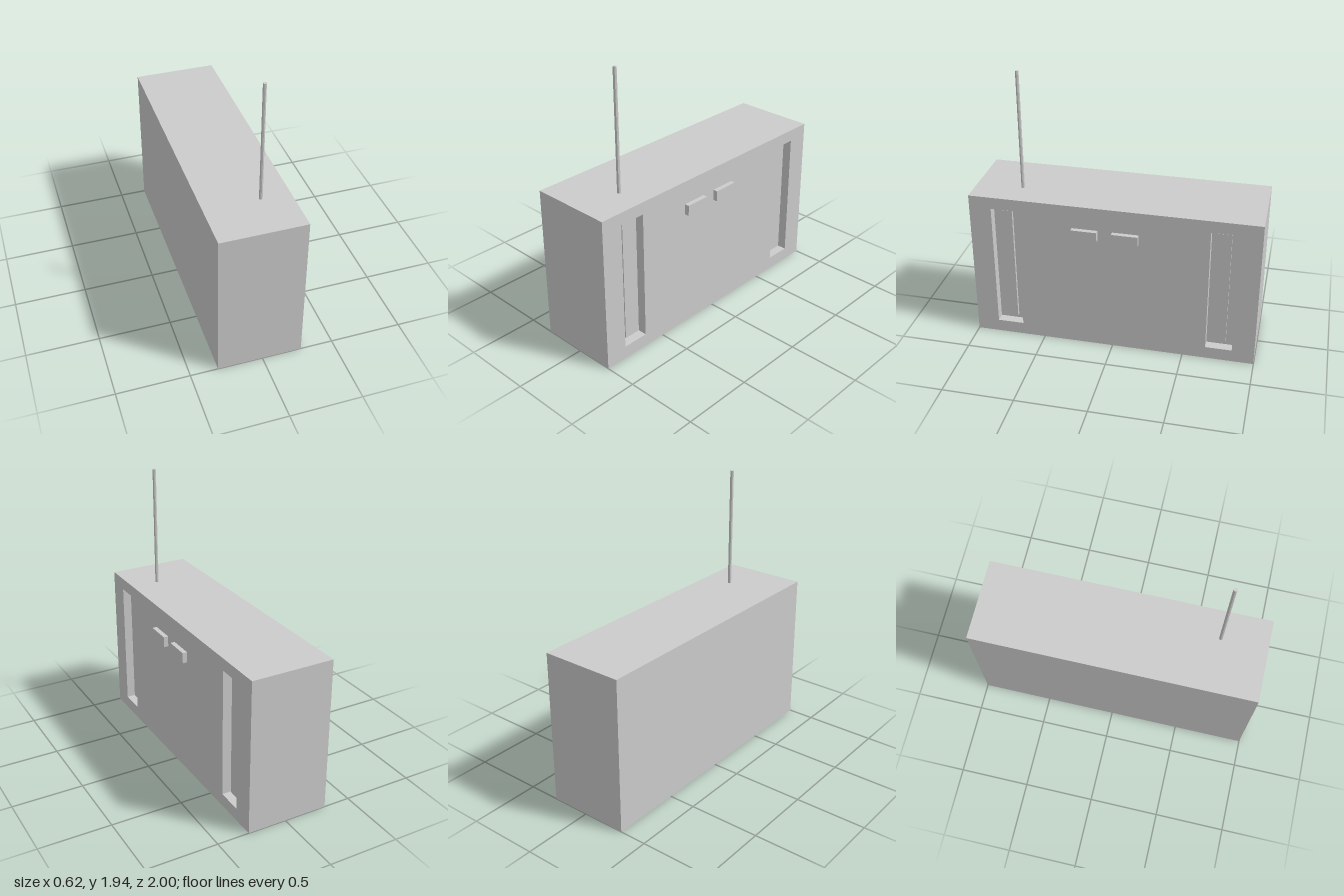
import * as THREE from 'three';

const material = new THREE.MeshStandardMaterial({ color: 0xcccccc, flatShading: true });

// Box given by its lower and upper limits on each axis
function box(name, [x0, x1], [y0, y1], [z0, z1]) {
  const mesh = new THREE.Mesh(new THREE.BoxGeometry(x1 - x0, y1 - y0, z1 - z0), material);
  mesh.position.set((x0 + x1) / 2, (y0 + y1) / 2, (z0 + z1) / 2);
  mesh.name = name;
  return mesh;
}

// Rectangle outline for the side panel and its slots
function rect(PathType, x0, x1, y0, y1) {
  return new PathType([
    new THREE.Vector2(x0, y0), new THREE.Vector2(x1, y0),
    new THREE.Vector2(x1, y1), new THREE.Vector2(x0, y1),
  ]);
}

export function createModel() {
  const group = new THREE.Group();
  group.name = 'radio';
  const back = -0.31, face = 0.275, height = 1.09, slotDepth = 0.065;
  const floor = face - slotDepth;

  // Main case behind the slotted panel
  group.add(box('case', [back, floor], [0, height], [-1, 1]));

  // Side panel with two tall slots; shape x runs along -z
  const panelShape = rect(THREE.Shape, -1, 1, 0, height);
  for (const [a, b] of [[-0.845, -0.66], [0.66, 0.845]]) {
    panelShape.holes.push(rect(THREE.Path, a, b, 0.09, 1.005));
  }
  const panelGeometry = new THREE.ExtrudeGeometry(panelShape, { depth: slotDepth, bevelEnabled: false });
  panelGeometry.rotateY(Math.PI / 2).translate(floor, 0, 0);
  const panel = new THREE.Mesh(panelGeometry, material);
  panel.name = 'slottedPanel';
  group.add(panel);

  // Raised strip on the floor of each slot
  for (const [a, b] of [[0.71, 0.8], [-0.795, -0.705]]) {
    group.add(box('slotStrip', [floor - 0.01, face - 0.042], [0.117, 0.98], [a, b]));
  }

  // Two push buttons
  for (const [a, b] of [[0.1, 0.278], [-0.18, 0]]) {
    group.add(box('button', [face - 0.01, 0.308], [0.85, 0.925], [a, b]));
  }

  // Aerial
  const top = 1.935, foot = height - 0.01;
  const antenna = new THREE.Mesh(new THREE.CylinderGeometry(0.0125, 0.0125, top - foot, 8), material);
  antenna.position.set(0.075, (top + foot) / 2, 0.673);
  antenna.name = 'antenna';
  group.add(antenna);

  return group;
}
